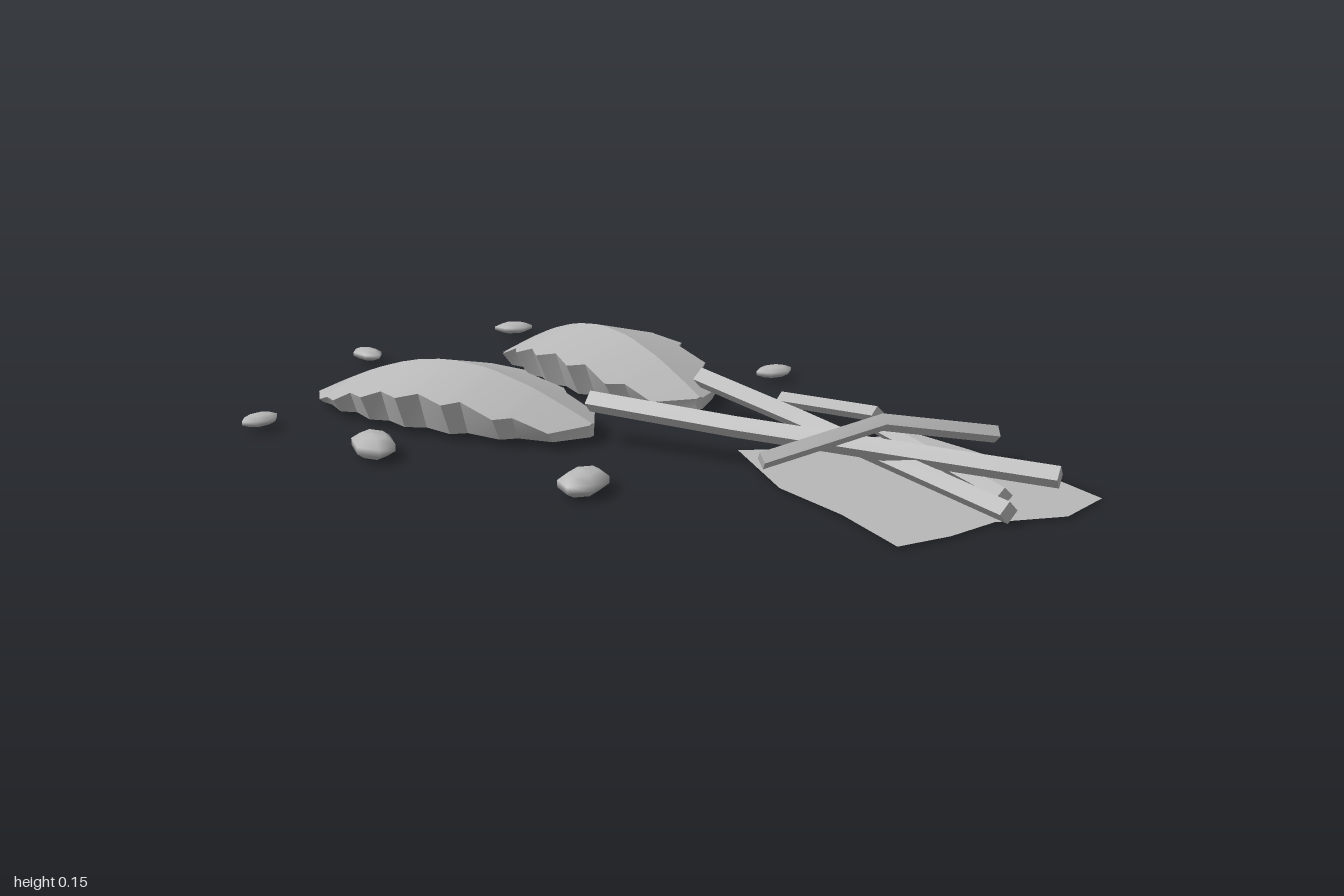
import * as THREE from 'three';
import { toCreasedNormals } from 'three/addons/utils/BufferGeometryUtils.js';

const grey = new THREE.MeshStandardMaterial({ color: 0xb8b8b8 });
grey.name = 'paleGrey';
const greySheet = new THREE.MeshStandardMaterial({ color: 0xb8b8b8, side: THREE.DoubleSide });
greySheet.name = 'paleGreySheet';
const UP = new THREE.Vector3(0, 1, 0);

// Skins equal rings of points and closes both ends
function loft(rings, crease) {
  const n = rings[0].length, last = (rings.length - 1) * n, index = [];
  for (let i = 0; i < rings.length - 1; i++) {
    for (let j = 0; j < n; j++) {
      const a = i * n + j, b = i * n + (j + 1) % n;
      index.push(a, b, a + n, b, b + n, a + n);
    }
  }
  for (let j = 1; j < n - 1; j++) {
    index.push(0, j + 1, j, last, last + j, last + j + 1);
  }
  const geo = new THREE.BufferGeometry().setFromPoints(rings.flat());
  geo.setIndex(index);
  return toCreasedNormals(geo, crease);
}

// Square bar on its edge, following a bent path
function barGeometry(path, r) {
  const pts = path.map((p) => new THREE.Vector3(...p));
  const rings = pts.map((p, i) => {
    const d = pts[Math.min(i + 1, pts.length - 1)].clone().sub(pts[Math.max(i - 1, 0)]).normalize();
    const s = new THREE.Vector3().crossVectors(UP, d).normalize();
    const u = new THREE.Vector3().crossVectors(d, s);
    return [[1, 0], [0, 1], [-1, 0], [0, -1]].map(([a, b]) =>
      p.clone().addScaledVector(s, a * r).addScaledVector(u, b * r));
  });
  return loft(rings, 0.6);
}

// Position along the leaf and half width: a toothed outline
const LEAF = [[0, 0.01], [0.07, 0.1], [0.18, 0.115], [0.22, 0.15], [0.34, 0.14], [0.38, 0.172],
  [0.48, 0.15], [0.54, 0.176], [0.62, 0.145], [0.68, 0.162], [0.76, 0.12], [0.81, 0.135],
  [0.88, 0.09], [0.92, 0.08], [1, 0.003]];

// Arched leaf with a ridged back, undercut sides and a flat underside
function leafGeometry([x0, z0], [x1, z1]) {
  const base = new THREE.Vector3(x0, 0, z0), tip = new THREE.Vector3(x1, 0, z1);
  const d = tip.clone().sub(base).normalize();
  const s = new THREE.Vector3().crossVectors(UP, d);
  const rings = LEAF.map(([t, w]) => {
    const ridge = 0.05 - 0.026 * t + 0.11 * Math.sin(Math.PI * t);
    const edge = ridge - 0.28 * w;
    const low = Math.min(0.02, edge - 0.004);
    return [[w, edge], [0, ridge], [-w, edge], [-0.8 * w, low], [0.8 * w, low]].map(([a, y]) =>
      base.clone().lerp(tip, t).addScaledVector(s, a).setY(y));
  });
  return loft(rings, 0.5);
}

// Ground sheet outline as x, z
const SHEET = [[-0.015, 0.215], [0.08, 0.33], [0.17, 0.345], [0.26, 0.405], [0.335, 0.425],
  [0.295, 0.61], [0.245, 0.805], [0.165, 0.998], [0.02, 0.998], [-0.1, 0.9], [-0.225, 0.875],
  [-0.34, 0.825], [-0.245, 0.635], [-0.18, 0.44]];

// Pebbles: x, z, half length, half width, turn about y, half height
const PEBBLES = [
  [0.035, -0.955, 0.046, 0.03, 1.45, 0.014],
  [0.46, -0.845, 0.048, 0.029, -0.75, 0.014],
  [-0.53, -0.735, 0.048, 0.029, -0.12, 0.014],
  [0.515, -0.06, 0.048, 0.031, -0.45, 0.014],
  [-0.52, -0.39, 0.074, 0.048, 0.95, 0.026],
  [0.505, -0.41, 0.074, 0.046, 0.6, 0.026],
  [-0.445, 0.135, 0.071, 0.048, 0.2, 0.026],
];

export function createModel() {
  const model = new THREE.Group();
  const add = (name, geo, mat = grey) => {
    const mesh = new THREE.Mesh(geo, mat);
    mesh.name = name;
    model.add(mesh);
    return mesh;
  };

  // Sheet under the stems
  const sheet = new THREE.ShapeGeometry(new THREE.Shape(SHEET.map(([x, z]) => new THREE.Vector2(x, -z))));
  sheet.rotateX(-Math.PI / 2);
  add('groundSheet', sheet, greySheet).position.y = 0.008;

  // Leaves and their stems
  add('rightLeaf', leafGeometry([-0.16, -0.075], [-0.27, -0.81]));
  add('leftLeaf', leafGeometry([0.155, -0.015], [0.33, -0.725]));
  add('rightStem', barGeometry([[-0.16, 0.1, -0.08], [-0.1, 0.09, 0.27], [0.08, 0.064, 0.945]], 0.024));
  add('leftStem', barGeometry([[0.16, 0.095, -0.015], [0.085, 0.07, 0.31], [-0.09, 0.03, 0.925]], 0.024));

  // Loose twigs and the bent twig lying across
  add('longTwig', barGeometry([[0.28, 0.028, 0.365], [0, 0.028, 0.865]], 0.019));
  add('shortTwig', barGeometry([[0.32, 0.028, 0.1], [0.225, 0.07, 0.42]], 0.018));
  add('crossTwig', barGeometry([[-0.225, 0.075, 0.425], [0.005, 0.13, 0.57], [0.235, 0.075, 0.71]], 0.019));

  // Scattered pebbles
  const profile = [[0, -1], [0.6, -0.85], [1, -0.3], [1, 0.3], [0.6, 0.85], [0, 1]]
    .map(([x, y]) => new THREE.Vector2(x, y));
  const pebble = new THREE.LatheGeometry(profile, 6);
  pebble.rotateY(Math.PI / 2);
  for (const [x, z, a, b, turn, h] of PEBBLES) {
    const mesh = add('pebble', pebble);
    mesh.scale.set(a, h, b);
    mesh.rotation.y = turn;
    mesh.position.set(x, h > 0.02 ? 0.03 : 0.027, z);
  }
  return model;
}
